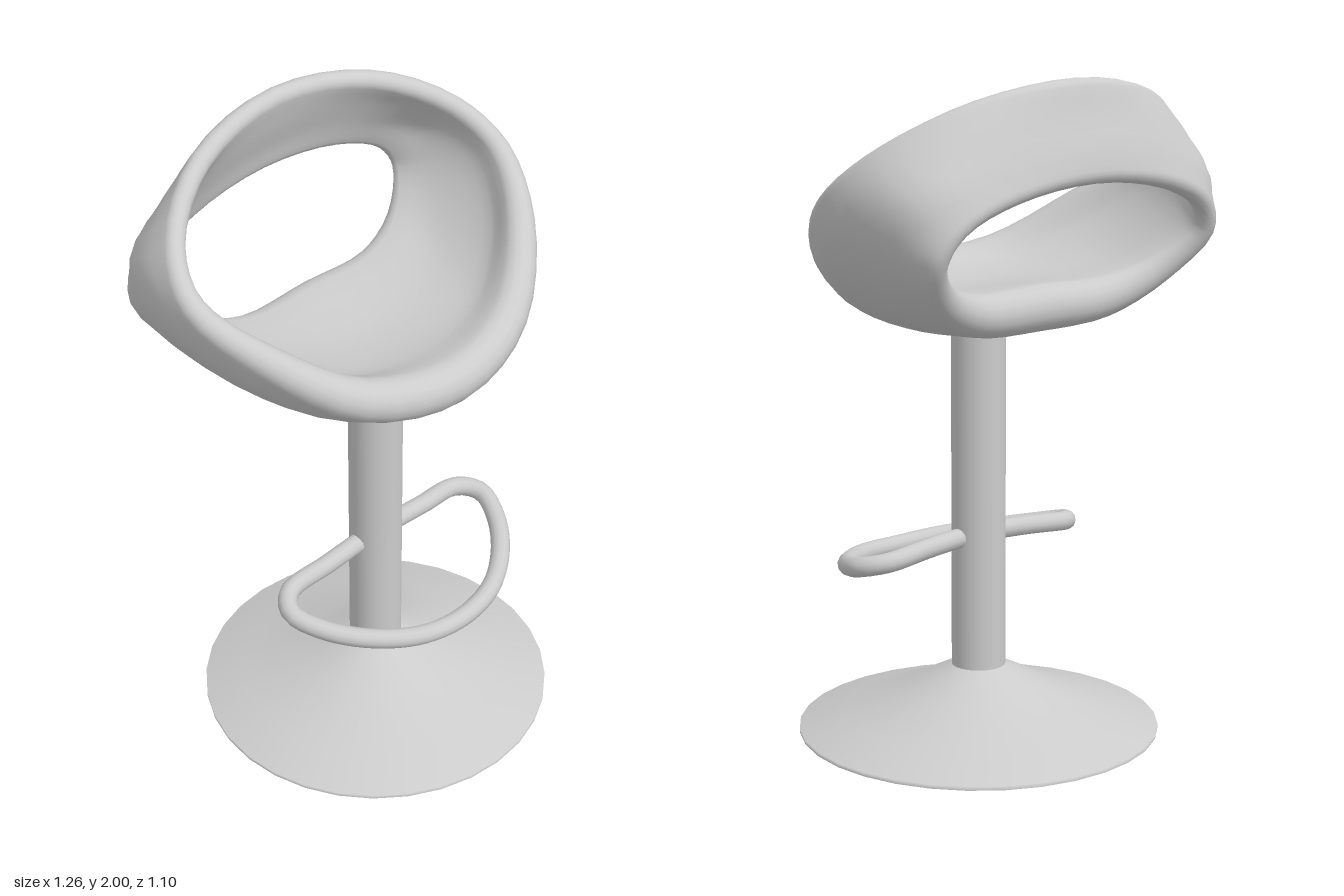
import * as THREE from 'three';

const material = new THREE.MeshStandardMaterial({ color: 0xcccccc, side: THREE.DoubleSide });
const vec = (p) => new THREE.Vector3(...p);

function addMesh(group, name, geometry) {
  const mesh = new THREE.Mesh(geometry, material);
  mesh.name = name;
  group.add(mesh);
}

// Mid-surface loops of the seat shell, each from front centre round the left side to back centre
const seatLoops = [
  // upper rim
  [[0, 1.362, 0.31], [0.29, 1.405, 0.245], [0.50, 1.56, 0.09], [0.595, 1.69, -0.09],
    [0.54, 1.80, -0.225], [0.33, 1.917, -0.355], [0, 1.967, -0.41]],
  // front of the floor, side walls, upper back
  [[0, 1.325, 0.19], [0.28, 1.355, 0.15], [0.49, 1.485, 0.03], [0.592, 1.63, -0.15],
    [0.56, 1.74, -0.285], [0.35, 1.84, -0.395], [0, 1.88, -0.435]],
  // middle of the floor, lower walls, lower back
  [[0, 1.306, 0], [0.26, 1.33, -0.04], [0.44, 1.41, -0.15], [0.56, 1.57, -0.285],
    [0.535, 1.68, -0.38], [0.335, 1.76, -0.44], [0, 1.80, -0.465]],
  // edge of the opening below the backrest
  [[0, 1.335, -0.26], [0.25, 1.34, -0.265], [0.42, 1.41, -0.32], [0.52, 1.53, -0.41],
    [0.475, 1.62, -0.445], [0.30, 1.70, -0.47], [0, 1.74, -0.48]],
];

// Padded shell: the mid-surface is offset both ways and closed by rounded edges
function seatGeometry() {
  const around = 48, across = 10, capSteps = 8;
  const curves = seatLoops.map((half) => {
    const mirrored = half.slice(1, -1).reverse().map(([x, y, z]) => [-x, y, z]);
    return new THREE.CatmullRomCurve3([...half, ...mirrored].map(vec), true);
  });
  const strip = (u) => new THREE.CatmullRomCurve3(curves.map((c) => c.getPoint((u + 1) % 1)));
  const positions = [], indices = [];
  let ring = 0;

  for (let i = 0; i < around; i++) {
    const u = i / around;
    const mid = strip(u), before = strip(u - 0.004), after = strip(u + 0.004);
    // thick cushion at the front, thin wall at the back
    const halfThickness = 0.031 + 0.039 * Math.cos(Math.PI * u) ** 6;
    const section = [];
    // angle 0 is the inner face, PI the outer face
    const put = (s, angle) => {
      const p = mid.getPoint(s), tangent = mid.getTangent(s);
      const normal = after.getPoint(s).sub(before.getPoint(s)).cross(tangent).normalize();
      section.push(p.addScaledVector(normal, halfThickness * Math.cos(angle))
        .addScaledVector(tangent, halfThickness * Math.sin(angle)));
    };
    for (let j = 0; j < across; j++) put(j / across, 0);
    for (let k = 0; k < capSteps; k++) put(1, Math.PI * k / capSteps);
    for (let j = across; j > 0; j--) put(j / across, Math.PI);
    for (let k = 0; k < capSteps; k++) put(0, Math.PI * (1 + k / capSteps));
    ring = section.length;
    section.forEach((p) => positions.push(p.x, p.y, p.z));
  }
  for (let i = 0; i < around; i++) {
    for (let j = 0; j < ring; j++) {
      const i2 = (i + 1) % around, j2 = (j + 1) % ring;
      const a = i * ring + j, b = i2 * ring + j, c = i2 * ring + j2, d = i * ring + j2;
      indices.push(a, b, c, a, c, d);
    }
  }
  const geometry = new THREE.BufferGeometry();
  geometry.setAttribute('position', new THREE.Float32BufferAttribute(positions, 3));
  geometry.setIndex(indices);
  geometry.computeVertexNormals();
  return geometry;
}

export function createModel() {
  const group = new THREE.Group();
  group.name = 'barStool';

  addMesh(group, 'seat', seatGeometry());

  // Column from the top of the base to the underside of the seat
  const column = new THREE.CylinderGeometry(0.082, 0.082, 1.065, 32);
  column.translate(0, 0.7225, 0);
  addMesh(group, 'column', column);

  // Hollow flared foot with a thin upright edge
  const profile = [[0.55, 0], [0.55, 0.012], [0.41, 0.056], [0.23, 0.125], [0.14, 0.172], [0.08, 0.2]];
  addMesh(group, 'base', new THREE.LatheGeometry(profile.map((p) => new THREE.Vector2(...p)), 32));

  // Bent footrest loop, both ends running into the column
  const half = [[0.03, 0.61, 0], [0.2, 0.598, 0], [0.36, 0.583, 0], [0.41, 0.568, 0.06],
    [0.375, 0.544, 0.16], [0.28, 0.52, 0.27], [0.15, 0.503, 0.35]];
  const path = [...half, [0, 0.495, 0.375], ...half.map(([x, y, z]) => [-x, y, z]).reverse()];
  addMesh(group, 'footrest', new THREE.TubeGeometry(new THREE.CatmullRomCurve3(path.map(vec)), 72, 0.03, 12));

  return group;
}
